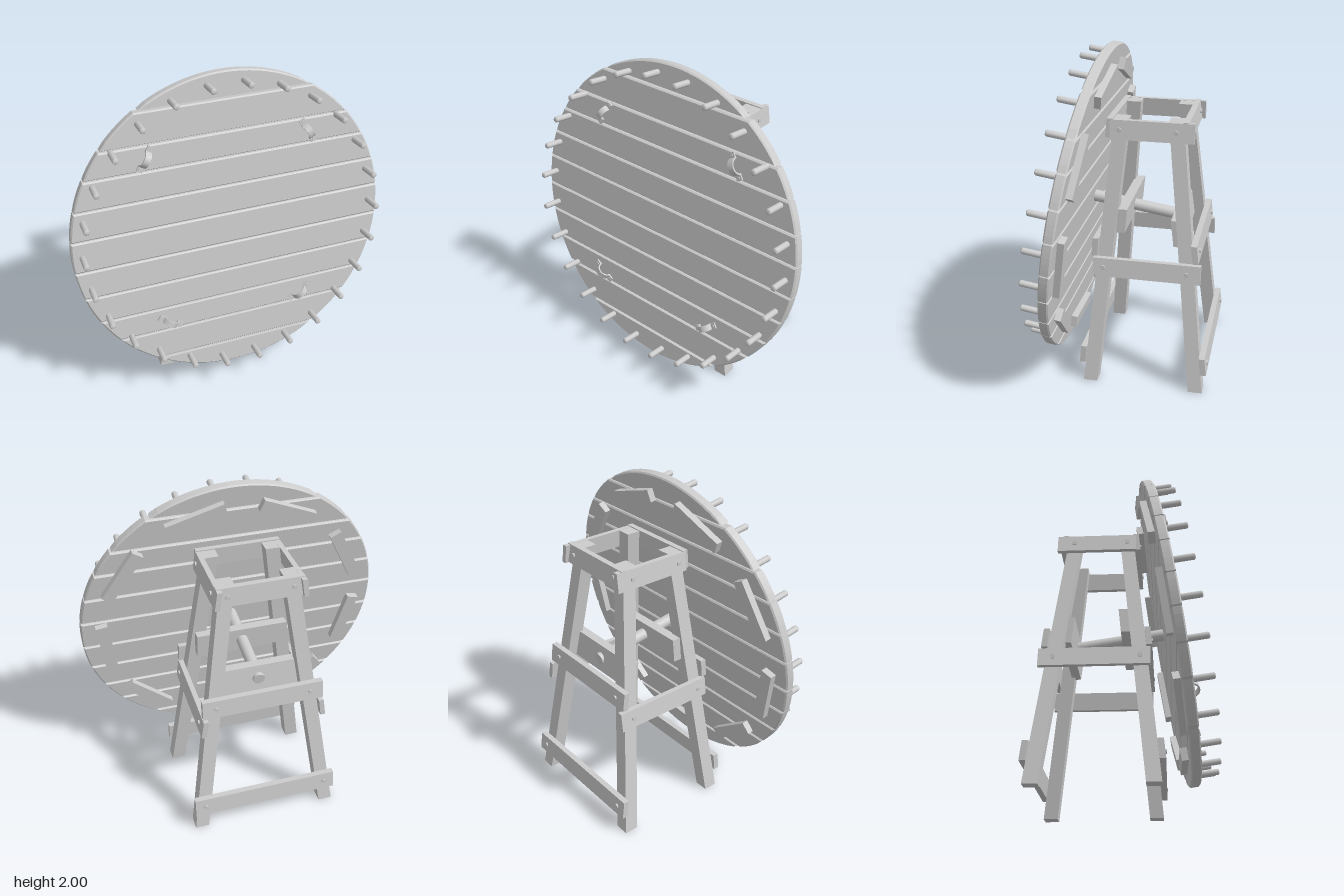
import * as THREE from 'three';

const mat = new THREE.MeshStandardMaterial({ color: 0xcccccc });
const TILT = 0.15;              // lean of the round board
const R = 0.95, THICK = 0.06;   // round board
const LEG = 0.085;              // leg section
const SX = -0.14;               // inward slope of the legs in x
// centre lines of the legs at height y
const legX = (y) => 0.412 + SX * y;
const ENDS = {
  front: { z0: 0.165, slope: -0.094, dir: 1 },
  rear: { z0: -0.487, slope: 0.111, dir: -1 },
};
const legZ = (e, y) => e.z0 + e.slope * y;

function add(parent, name, geo, x = 0, y = 0, z = 0) {
  const m = new THREE.Mesh(geo, mat);
  m.name = name;
  m.position.set(x, y, z);
  parent.add(m);
  return m;
}

// box whose section slides in x and z as it rises
function slantedBox(w, h, d, sx, sz) {
  const g = new THREE.BoxGeometry(w, h, d);
  const p = g.attributes.position;
  for (let i = 0; i < p.count; i++) {
    const y = p.getY(i);
    p.setX(i, p.getX(i) + sx * y);
    p.setZ(i, p.getZ(i) + sz * y);
  }
  const flat = g.toNonIndexed();
  flat.computeVertexNormals();
  return flat;
}

// slice of the disc between two heights, with bevelled edges
function plankGeometry(v0, v1) {
  const bevel = 0.008, r = R - bevel, inset = bevel + 0.003;
  const a0 = v0 <= -R ? -Math.PI / 2 : Math.asin((v0 + inset) / r);
  const a1 = v1 >= R ? Math.PI / 2 : Math.asin((v1 - inset) / r);
  const n = Math.max(5, Math.ceil((a1 - a0) / 0.05));
  const right = [];
  for (let i = 0; i <= n; i++) {
    const a = a0 + ((a1 - a0) * i) / n;
    right.push(new THREE.Vector2(r * Math.cos(a), r * Math.sin(a)));
  }
  const left = right.filter((p) => p.x > 1e-6).map((p) => new THREE.Vector2(-p.x, p.y)).reverse();
  const g = new THREE.ExtrudeGeometry(new THREE.Shape([...right, ...left]), {
    depth: THICK - 2 * bevel, bevelEnabled: true, bevelSize: bevel,
    bevelThickness: bevel, bevelSegments: 1,
  });
  return g.translate(0, 0, -THICK / 2 + bevel);
}

// arched strap with two flat feet, standing out along z
function handleGeometry() {
  const s = new THREE.Shape();
  s.moveTo(-0.08, 0);
  s.lineTo(-0.041, 0);
  s.absellipse(0, 0, 0.041, 0.043, Math.PI, 0, true);
  s.lineTo(0.08, 0);
  s.lineTo(0.08, 0.01);
  s.lineTo(0.05, 0.01);
  s.absellipse(0, 0, 0.05, 0.052, 0.19, Math.PI - 0.19, false);
  s.lineTo(-0.08, 0.01);
  const g = new THREE.ExtrudeGeometry(s, { depth: 0.036, bevelEnabled: false, curveSegments: 14 });
  return g.translate(0, 0, -0.018).rotateX(Math.PI / 2);
}

function buildBoard() {
  const board = new THREE.Group();
  board.name = 'roundBoard';

  // planks
  const half = [0.097, 0.275, 0.45, 0.604, 0.796, R];
  const cuts = [...half.map((v) => -v).reverse(), ...half];
  for (let i = 0; i < cuts.length - 1; i++) add(board, 'plank', plankGeometry(cuts[i], cuts[i + 1]));

  // pegs around the rim
  const profile = [[0, 0], [0.018, 0], [0.018, 0.143], [0.013, 0.15], [0, 0.15]]
    .map(([x, y]) => new THREE.Vector2(x, y));
  const pegGeo = new THREE.LatheGeometry(profile, 14).rotateX(Math.PI / 2);
  for (let i = 0; i < 26; i++) {
    const a = ((i + 0.5) / 26) * Math.PI * 2;
    add(board, 'peg', pegGeo, 0.89 * Math.sin(a), 0.89 * Math.cos(a), 0);
  }

  // handles with screws in the feet
  const strap = handleGeometry();
  const screw = new THREE.CylinderGeometry(0.009, 0.009, 0.006, 10).rotateX(Math.PI / 2);
  for (const s of [1, -1]) {
    for (const [x, y, deg] of [[0.485, 0.527, -60], [0.422, -0.547, 32]]) {
      const h = new THREE.Group();
      h.name = 'handle';
      h.position.set(s * x, y, THICK / 2);
      h.rotation.z = s * THREE.MathUtils.degToRad(deg);
      add(h, 'handleStrap', strap);
      for (const e of [1, -1]) add(h, 'handleScrew', screw, e * 0.065, 0, 0.012);
      board.add(h);
    }
  }

  // cleats across the back
  const cleat = new THREE.BoxGeometry(0.36, 0.075, 0.04);
  for (let i = 0; i < 9; i++) {
    const a = THREE.MathUtils.degToRad(17 + 40 * i);
    const c = add(board, 'backCleat', cleat, 0.81 * Math.sin(a), 0.81 * Math.cos(a), -THICK / 2 - 0.019);
    c.rotation.z = -a;
  }

  // axle
  const axle = new THREE.CylinderGeometry(0.036, 0.036, 0.62, 24).rotateX(Math.PI / 2);
  add(board, 'axle', axle, 0, 0, -0.325);

  board.position.set(0, 1.06, 0.258);
  board.rotation.x = -TILT;
  return board;
}

function buildStand() {
  const stand = new THREE.Group();
  stand.name = 'stand';
  const height = 1.63;
  const bolt = new THREE.CylinderGeometry(0.014, 0.014, 0.012, 12);
  const boltZ = bolt.clone().rotateX(Math.PI / 2);
  const boltX = bolt.clone().rotateZ(Math.PI / 2);

  for (const [name, e] of Object.entries(ENDS)) {
    // legs
    for (const s of [1, -1]) {
      add(stand, name + 'Leg', slantedBox(LEG, height, LEG, s * SX, e.slope),
        s * legX(height / 2), height / 2, legZ(e, height / 2));
    }
    // cross rails on the outer faces: height, half length
    for (const [y, len] of [[0.182, 0.452], [0.88, 0.37], [1.58, 0.255]]) {
      const z = legZ(e, y) + e.dir * (LEG / 2 + 0.0175);
      add(stand, name + 'Rail', slantedBox(len * 2, 0.112, 0.035, 0, e.slope), 0, y, z);
      for (const s of [1, -1]) {
        add(stand, 'railBolt', boltZ, s * legX(y), y, z + e.dir * 0.02);
      }
    }
  }

  // side rails
  for (const s of [1, -1]) {
    for (const [y, zf, zr] of [[0.755, 0.154, -0.488], [1.575, 0.07, -0.415]]) {
      const x = s * (legX(y) + LEG / 2 + 0.015);
      add(stand, 'sideRail', slantedBox(0.03, 0.112, zf - zr, s * SX, 0), x, y, (zf + zr) / 2);
      for (const e of Object.values(ENDS)) {
        add(stand, 'railBolt', boltX, x + s * 0.017, y, legZ(e, y));
      }
    }
  }

  // bearing boards that carry the axle
  add(stand, 'frontBearing', slantedBox(0.57, 0.15, 0.06, 0, ENDS.front.slope), 0, 1.022, 0.003);
  add(stand, 'rearBearing', slantedBox(0.57, 0.165, 0.055, 0, ENDS.rear.slope), 0, 0.967, -0.33);
  return stand;
}

export function createModel() {
  const model = new THREE.Group();
  model.name = 'peggedWheelOnStand';
  model.add(buildBoard(), buildStand());
  return model;
}
